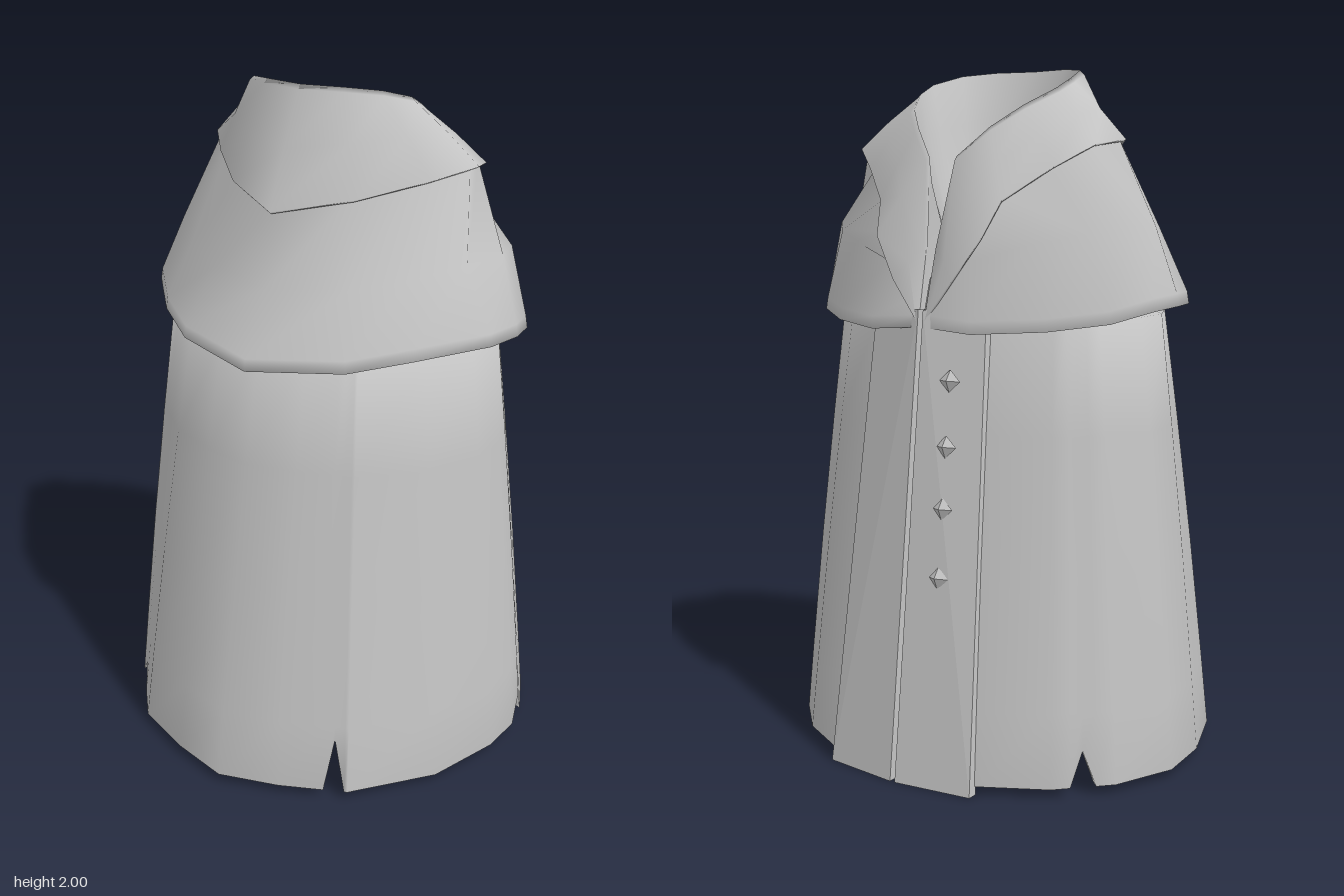
import * as THREE from 'three';

const cloth = new THREE.MeshStandardMaterial({ color: 0xc4c4c4, side: THREE.DoubleSide });
cloth.name = 'grey cloth';

const V = (x, y, z) => new THREE.Vector3(x, y, z);

// Half outline (back opening to front centre) mirrored into a full contour
function contour(half) {
  const left = half.map(p => V(...p));
  const right = half.slice(0, -1).reverse().map(([x, y, z]) => V(-x, y, z));
  return [...left, ...right];
}

// Point at a fractional index along a contour
function at(ring, s) {
  const i = Math.min(Math.floor(s), ring.length - 2);
  return ring[i].clone().lerp(ring[i + 1], s - i);
}

const mix = (a, b, t) => a.map((p, i) => p.clone().lerp(b[i], t));

// Shrinks a ring towards the central axis, with a small lift
const inset = (ring, k, dy = 0) => ring.map(p => V(p.x * k, p.y + dy, -0.08 + (p.z + 0.08) * k));

// Skin through rings listed from bottom to top
function loft(name, rings, { closed = false, flat = false } = {}) {
  const n = rings[0].length, pos = [], index = [];
  rings.forEach(r => r.forEach(p => pos.push(p.x, p.y, p.z)));
  for (let j = 0; j < rings.length - 1; j++) {
    for (let i = 0; i < (closed ? n : n - 1); i++) {
      const a = j * n + i, b = j * n + (i + 1) % n, c = a + n, d = b + n;
      index.push(a, c, b, b, c, d);
    }
  }
  let g = new THREE.BufferGeometry();
  g.setAttribute('position', new THREE.Float32BufferAttribute(pos, 3));
  g.setIndex(index);
  if (flat) g = g.toNonIndexed();
  g.computeVertexNormals();
  const mesh = new THREE.Mesh(g, cloth);
  mesh.name = name;
  return mesh;
}

// Outlines
const hem = contour([
  [0.01, 0.03, -0.575], [0.25, 0.03, -0.545], [0.43, 0.03, -0.45], [0.56, 0.03, -0.32], [0.638, 0.03, -0.14],
  [0.625, 0.03, 0.04], [0.55, 0.03, 0.26], [0.37, 0.03, 0.47], [0.18, 0.03, 0.55], [0, 0.03, 0.6]]);
const chest = contour([
  [0.01, 1.3, -0.43], [0.2, 1.3, -0.38], [0.35, 1.3, -0.32], [0.45, 1.3, -0.24], [0.51, 1.3, -0.12],
  [0.5, 1.3, 0.02], [0.43, 1.3, 0.17], [0.28, 1.3, 0.28], [0.14, 1.3, 0.33], [0, 1.3, 0.35]]);
const neck = contour([
  [0.01, 1.27, -0.43], [0.012, 1.4, -0.39], [0.03, 1.5, -0.29], [0.06, 1.5, -0.24], [0.09, 1.5, -0.19],
  [0.105, 1.5, -0.15], [0.1, 1.5, -0.1], [0.08, 1.5, -0.06], [0.04, 1.5, -0.02], [0, 1.5, 0]]);
const capeHem = contour([
  [0.02, 1.27, -0.45], [0.17, 1.26, -0.455], [0.36, 1.27, -0.37], [0.5, 1.29, -0.27], [0.575, 1.32, -0.17],
  [0.595, 1.33, -0.06], [0.57, 1.33, 0.05], [0.42, 1.31, 0.22], [0.27, 1.28, 0.33], [0, 1.262, 0.42]]);
const capeMid = contour([
  [0.02, 1.36, -0.425], [0.13, 1.45, -0.42], [0.3, 1.5, -0.36], [0.43, 1.53, -0.27], [0.51, 1.55, -0.18],
  [0.53, 1.55, -0.08], [0.48, 1.54, 0.04], [0.36, 1.51, 0.16], [0.22, 1.48, 0.24], [0, 1.47, 0.31]]);
const collarEdge = contour([
  [0.02, 1.3, -0.45], [0.1, 1.4, -0.445], [0.18, 1.52, -0.415], [0.21, 1.62, -0.36], [0.32, 1.71, -0.27],
  [0.41, 1.77, -0.2], [0.44, 1.785, -0.09], [0.35, 1.755, 0.02], [0.2, 1.715, 0.17], [0, 1.68, 0.285]]);
const rim = contour([
  [0.01, 1.28, -0.455], [0.02, 1.5, -0.405], [0.05, 1.74, -0.355], [0.13, 1.82, -0.3], [0.2, 1.88, -0.23],
  [0.25, 1.93, -0.13], [0.255, 1.96, -0.06], [0.22, 1.99, 0.05], [0.13, 2, 0.11], [0, 2, 0.135]]);

// Torn notches in the hem: [contour position, half width, height]
const notches = [[4, 0.25, 0.08], [7.2, 0.15, 0.16], [11.7, 0.25, 0.07], [15.5, 0.2, 0.1]];

function buildBody() {
  const cols = hem.map((_, i) => i).filter(i => !notches.some(([s, w]) => Math.abs(i - s) <= w));
  notches.forEach(([s, w]) => cols.push(s - w, s, s + w));
  cols.sort((a, b) => a - b);
  const sample = ring => cols.map(s => at(ring, s));
  const low = sample(hem), top = sample(chest);
  // Lift each notch tip along the wall
  const bottom = low.map((p, i) => {
    const cut = notches.find(([s]) => s === cols[i]);
    return cut ? p.clone().lerp(top[i], cut[2] / 1.27) : p;
  });
  const rows = [[0.16, 0.14], [0.45, 0.41], [0.75, 0.72]].map(([ty, t]) =>
    mix(low, top, t).map(p => V(p.x, 0.03 + 1.27 * ty, p.z)));
  return loft('coatBody', [inset(bottom, 0.97, 0.008), bottom, ...rows, top, sample(neck)]);
}

// Raised strip beside the back opening
function buildPlacket(side) {
  const section = (y, w, z0, z1) => [[0.008, z0], [w, z1], [w, z1 + 0.03], [0.008, z0 + 0.03]]
    .map(([x, z]) => V(side * x, y, z));
  const base = section(0.005, 0.245, -0.6, -0.572);
  const top = section(1.32, 0.19, -0.45, -0.405);
  const hub = base.map(() => V(side * 0.12, 0.005, -0.57));
  return loft(side > 0 ? 'leftPlacket' : 'rightPlacket', [hub, base, top], { closed: true, flat: true });
}

export function createModel() {
  const model = new THREE.Group();
  model.name = 'capedCoat';

  model.add(buildBody(), buildPlacket(1), buildPlacket(-1));

  // Shoulder cape with a thick turned hem
  const capeTop = inset(collarEdge, 0.94, 0.01);
  const hemRoll = capeHem.map(p => V(p.x, p.y + 0.035, p.z));
  model.add(loft('shoulderCape',
    [inset(capeHem, 0.9, 0.03), inset(capeHem, 0.965), capeHem, inset(hemRoll, 0.99), capeMid, capeTop]));

  // Folded collar: turned edge, outside, rim, then the inside down to the neck
  model.add(loft('collar', [
    inset(collarEdge, 0.93, 0.01), inset(collarEdge, 0.98, -0.006), collarEdge,
    mix(collarEdge, rim, 0.5), inset(rim, 1.0, -0.012), inset(rim, 0.95),
    mix(rim, neck, 0.3), neck]));

  // Diamond buttons on the right strip
  [1.13, 0.95, 0.78, 0.59].forEach((y, i) => {
    const button = new THREE.Mesh(new THREE.OctahedronGeometry(0.035).toNonIndexed(), cloth);
    button.name = 'button' + (i + 1);
    button.scale.set(1, 0.9, 0.5);
    button.rotation.x = 0.11;
    button.position.set(-0.105, y, -0.587 + 0.113 * y);
    model.add(button);
  });

  return model;
}
